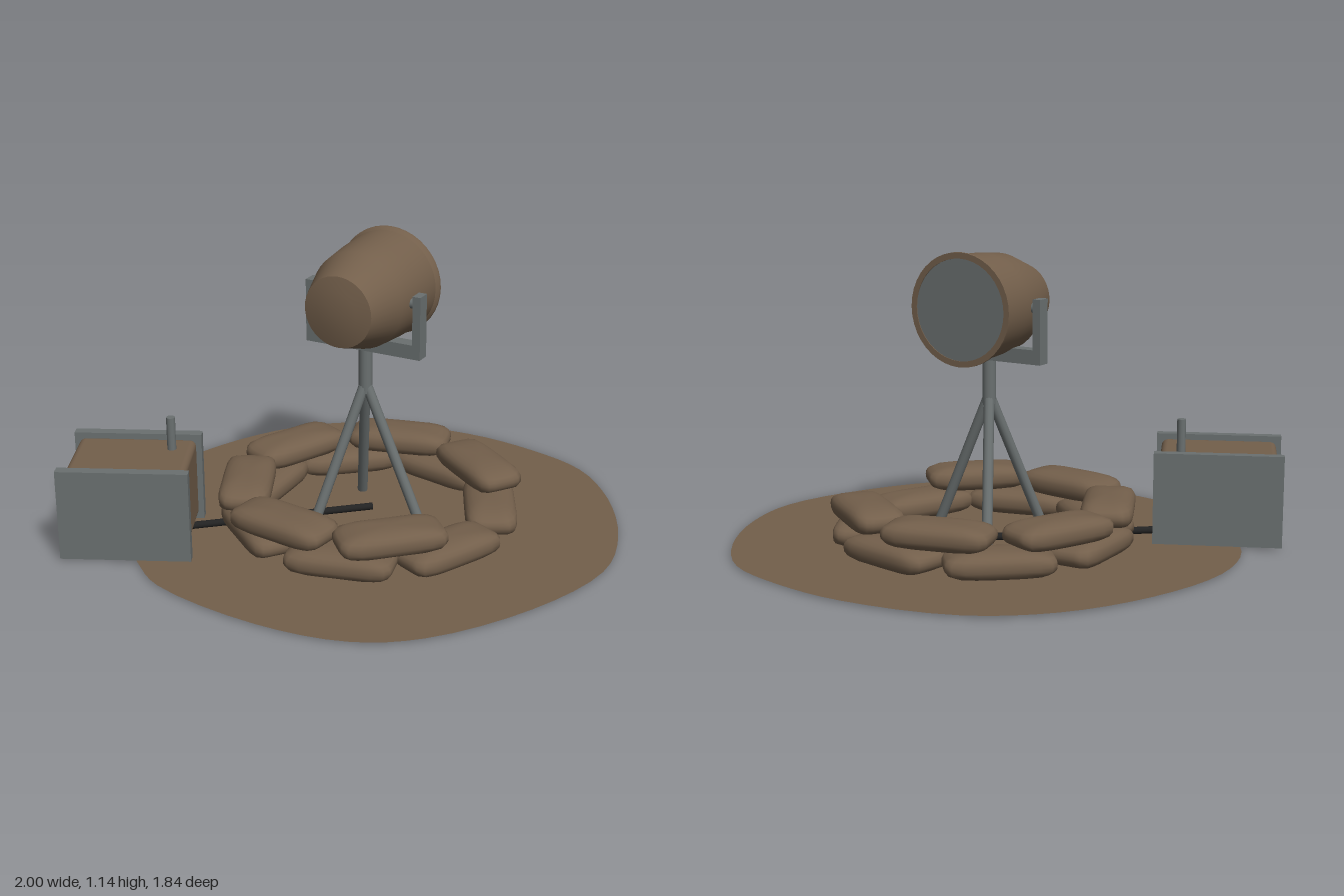
import * as THREE from 'three';
import { mergeVertices, toCreasedNormals } from 'three/addons/utils/BufferGeometryUtils.js';
import { RoundedBoxGeometry } from 'three/addons/geometries/RoundedBoxGeometry.js';

const earth = new THREE.MeshStandardMaterial({ color: 0x735f4b, side: THREE.DoubleSide });
earth.name = 'earthBrown';
const steel = new THREE.MeshStandardMaterial({ color: 0x6a7070 });
steel.name = 'steelGrey';
const rubber = new THREE.MeshStandardMaterial({ color: 0x222222 });
rubber.name = 'blackRubber';

function add(parent, name, geometry, material, x = 0, y = 0, z = 0) {
  const mesh = new THREE.Mesh(geometry, material);
  mesh.name = name;
  mesh.position.set(x, y, z);
  parent.add(mesh);
  return mesh;
}

// Round bar between two points
function bar(parent, name, a, b, radius, material) {
  const dir = b.clone().sub(a);
  const mesh = add(parent, name, new THREE.CylinderGeometry(radius, radius, dir.length(), 12), material);
  mesh.position.copy(a).addScaledVector(dir, 0.5);
  mesh.quaternion.setFromUnitVectors(new THREE.Vector3(0, 1, 0), dir.normalize());
  return mesh;
}

// Sphere pushed out to a squarish pillow
function bagGeometry() {
  let g = new THREE.SphereGeometry(1, 32, 14);
  const p = g.attributes.position;
  for (let i = 0; i < p.count; i++) {
    const x = p.getX(i), y = p.getY(i), z = p.getZ(i);
    const h = Math.pow(x ** 6 + z ** 6, 1 / 6);
    const n = Math.pow(h ** 2.8 + Math.abs(y) ** 2.8, 1 / 2.8);
    p.setXYZ(i, (x / n) * 0.205, (y / n) * 0.053, (z / n) * 0.1);
  }
  g.deleteAttribute('uv');
  g.deleteAttribute('normal');
  g = mergeVertices(g, 1e-5);
  g.computeVertexNormals();
  return g;
}

export function createModel() {
  const model = new THREE.Group();
  model.name = 'searchlightPosition';

  // Irregular patch of ground
  const outline = [
    [0.03, -0.925], [-0.4, -0.84], [-0.665, -0.64], [-0.855, -0.32], [-0.945, 0.05], [-0.89, 0.35],
    [-0.72, 0.58], [-0.56, 0.73], [-0.4, 0.84], [0.055, 0.915], [0.4, 0.87], [0.62, 0.73],
    [0.87, 0.375], [0.995, 0], [0.95, -0.29], [0.8, -0.59], [0.6, -0.8], [0.35, -0.89],
  ].map(([x, z]) => new THREE.Vector3(x, -z, 0));
  const edge = new THREE.CatmullRomCurve3(outline, true).getPoints(72);
  const patch = new THREE.ShapeGeometry(new THREE.Shape(edge.map((p) => new THREE.Vector2(p.x, p.y))));
  patch.rotateX(-Math.PI / 2);
  add(model, 'groundPatch', patch, earth, 0, 0.01, 0);

  // Lower ring of seven sandbags, upper ring of six with an opening on the left
  const bags = new THREE.Group();
  bags.name = 'sandbagWall';
  model.add(bags);
  const bag = bagGeometry();
  for (let i = 0; i < 7; i++) {
    const a = THREE.MathUtils.degToRad(25 + (i * 360) / 7);
    const m = add(bags, 'lowerSandbag', bag, earth, 0.025 + 0.465 * Math.cos(a), 0.056, -0.02 + 0.465 * Math.sin(a));
    m.rotation.y = -a - Math.PI / 2;
  }
  const upper = [ // x, z, heading in degrees
    [-0.07, -0.47, 14], [0.33, -0.36, -36], [0.3, 0.36, 43],
    [-0.1, 0.44, -8], [-0.4, 0.2, -65], [-0.41, -0.2, 66],
  ];
  for (const [x, z, deg] of upper) {
    add(bags, 'upperSandbag', bag, earth, x, 0.152, z).rotation.y = THREE.MathUtils.degToRad(deg);
  }

  // Tripod and post
  const cx = 0.012;
  const stand = new THREE.Group();
  stand.name = 'tripod';
  model.add(stand);
  add(stand, 'post', new THREE.CylinderGeometry(0.026, 0.026, 0.19, 16), steel, cx, 0.635, 0);
  for (let i = 0; i < 3; i++) {
    const a = (i * Math.PI * 2) / 3;
    bar(stand, 'tripodLeg', new THREE.Vector3(cx, 0.58, 0),
      new THREE.Vector3(cx + 0.245 * Math.cos(a), 0.015, 0.245 * Math.sin(a)), 0.02, steel);
  }

  // Yoke
  const yoke = new THREE.Group();
  yoke.name = 'yoke';
  model.add(yoke);
  add(yoke, 'yokeBase', new THREE.BoxGeometry(0.478, 0.055, 0.055), steel, cx, 0.743, 0);
  for (const s of [-1, 1]) {
    add(yoke, 'yokeArm', new THREE.BoxGeometry(0.032, 0.245, 0.055), steel, cx + s * 0.223, 0.838, 0);
    add(yoke, 'pivot', new THREE.CylinderGeometry(0.02, 0.02, 0.05, 12).rotateZ(Math.PI / 2), steel, cx + s * 0.195, 0.925, 0);
  }

  // Lamp drum, narrow end to the front and lens at the back
  const lamp = new THREE.Group();
  lamp.name = 'lamp';
  lamp.position.set(cx, 0.926, 0);
  model.add(lamp);
  const profile = [
    [0.19, -0.197], [0.19, -0.205], [0.213, -0.205], [0.213, -0.195], [0.203, -0.18],
    [0.198, -0.05], [0.187, 0.07], [0.136, 0.218], [0.08, 0.23], [0, 0.235],
  ].map(([r, z]) => new THREE.Vector2(r, z));
  const drum = toCreasedNormals(new THREE.LatheGeometry(profile, 40).rotateX(Math.PI / 2), 0.4);
  add(lamp, 'lampDrum', drum, earth);
  add(lamp, 'lens', new THREE.CylinderGeometry(0.192, 0.192, 0.008, 40).rotateX(Math.PI / 2), steel, 0, 0, -0.198);

  // Generator between two steel side plates
  const generator = new THREE.Group();
  generator.name = 'generator';
  generator.position.set(-0.695, 0, 0.552);
  generator.rotation.y = THREE.MathUtils.degToRad(24.6);
  model.add(generator);
  add(generator, 'generatorBody', new RoundedBoxGeometry(0.45, 0.315, 0.35, 3, 0.025), earth, 0, 0.187, 0);
  for (const s of [-1, 1]) {
    add(generator, 'sidePlate', new THREE.BoxGeometry(0.49, 0.355, 0.04), steel, 0, 0.188, s * 0.181);
  }
  add(model, 'exhaustPipe', new THREE.CylinderGeometry(0.017, 0.017, 0.15, 12), steel, -0.594, 0.4, 0.425);

  // Power cable along the ground
  bar(model, 'powerCable', new THREE.Vector3(cx, 0.03, -0.06), new THREE.Vector3(-0.56, 0.03, 0.44), 0.014, rubber);

  return model;
}
